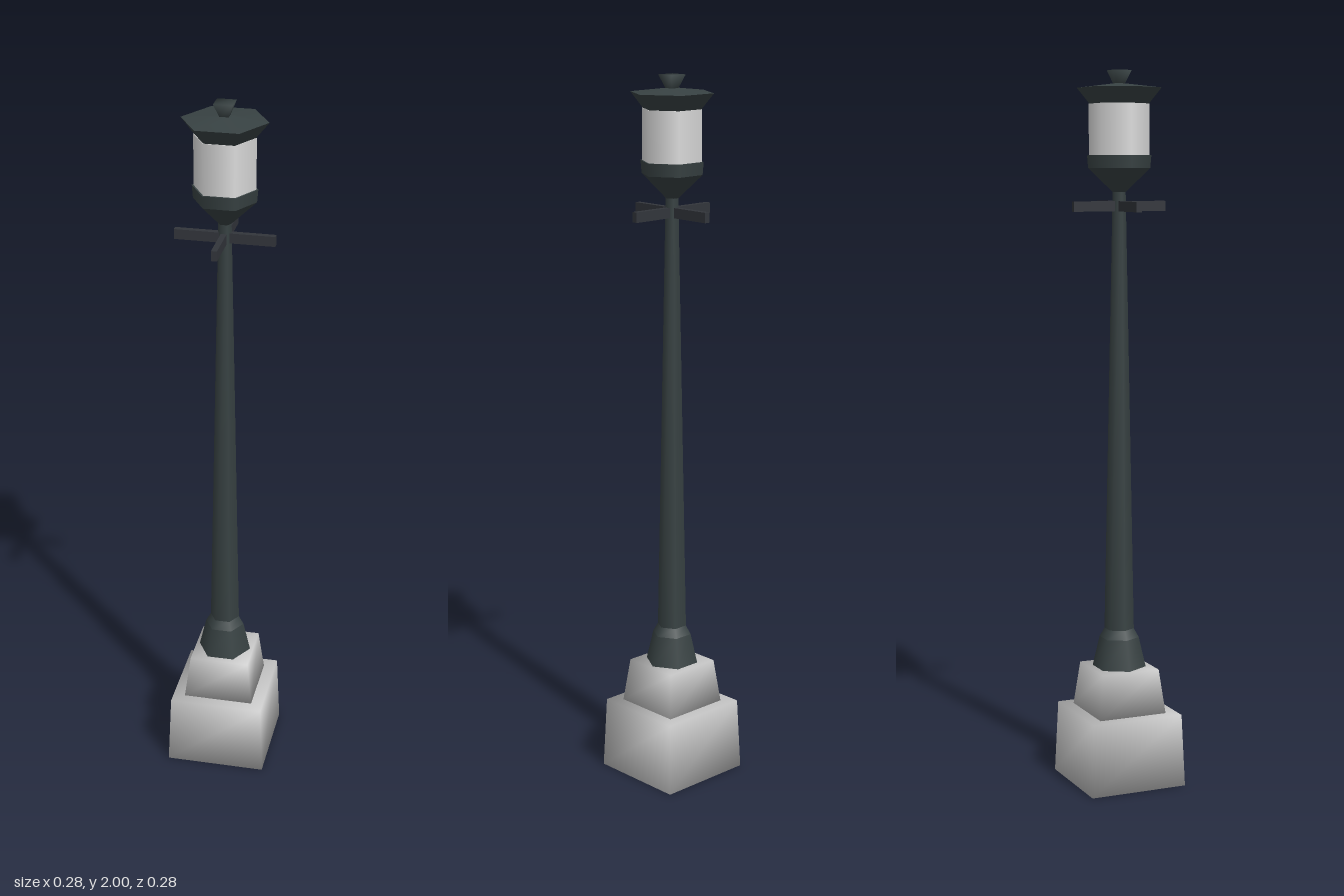
import * as THREE from 'three';
import { mergeVertices } from 'three/addons/utils/BufferGeometryUtils.js';

const material = (name, color) => {
  const m = new THREE.MeshStandardMaterial({ color });
  m.name = name;
  return m;
};

export function createModel() {
  const group = new THREE.Group();
  const stone = material('pale stone', 0xc6c6c6);
  const iron = material('dark iron', 0x384243);
  const bar = material('bar iron', 0x32353b);
  const glass = material('frosted glass', 0xdcdcdc);

  const add = (name, geometry, mat) => {
    const mesh = new THREE.Mesh(geometry, mat);
    mesh.name = name;
    group.add(mesh);
    return mesh;
  };

  // Six-sided tapered part with its corners on the x axis
  const hex = (name, y0, y1, r0, r1, mat, open = false) => {
    const g = new THREE.CylinderGeometry(r1, r0, y1 - y0, 6, 1, open, Math.PI / 2);
    g.translate(0, (y0 + y1) / 2, 0);
    return add(name, g, mat);
  };

  // Square tapered block with shared, softly shaded corners
  const block = (name, y0, y1, half0, half1, mat) => {
    let g = new THREE.BoxGeometry(2, y1 - y0, 2);
    g.translate(0, (y0 + y1) / 2, 0);
    const p = g.attributes.position;
    for (let i = 0; i < p.count; i++) {
      const h = p.getY(i) > (y0 + y1) / 2 ? half1 : half0;
      p.setX(i, p.getX(i) * h);
      p.setZ(i, p.getZ(i) * h);
    }
    g.deleteAttribute('normal');
    g.deleteAttribute('uv');
    g = mergeVertices(g);
    g.computeVertexNormals();
    return add(name, g, mat);
  };

  // Stone plinth
  block('lowerPlinth', 0, 0.205, 0.142, 0.134, stone);
  block('upperPlinth', 0.205, 0.33, 0.1, 0.085, stone);

  // Post
  hex('postFoot', 0.33, 0.415, 0.076, 0.056, iron);
  hex('postCollar', 0.415, 0.44, 0.056, 0.042, iron);
  hex('post', 0.44, 1.68, 0.042, 0.018, iron);

  // Crossed ladder bars
  for (const [name, turn] of [['sideBar', 0], ['frontBar', Math.PI / 2]]) {
    const mesh = add(name, new THREE.BoxGeometry(0.274, 0.028, 0.016), bar);
    mesh.position.y = 1.631;
    mesh.rotation.y = turn;
  }

  // Lantern
  hex('lanternCup', 1.67, 1.735, 0.018, 0.086, iron);
  hex('lanternRim', 1.735, 1.77, 0.086, 0.089, iron);
  hex('lanternGlass', 1.77, 1.91, 0.084, 0.084, glass);
  hex('roofFlare', 1.91, 1.953, 0.082, 0.117, iron);
  hex('roofTop', 1.953, 1.964, 0.117, 0.02, iron);

  // Square finial, wider at the top
  block('finial', 1.96, 2, 0.011, 0.026, iron);

  return group;
}
